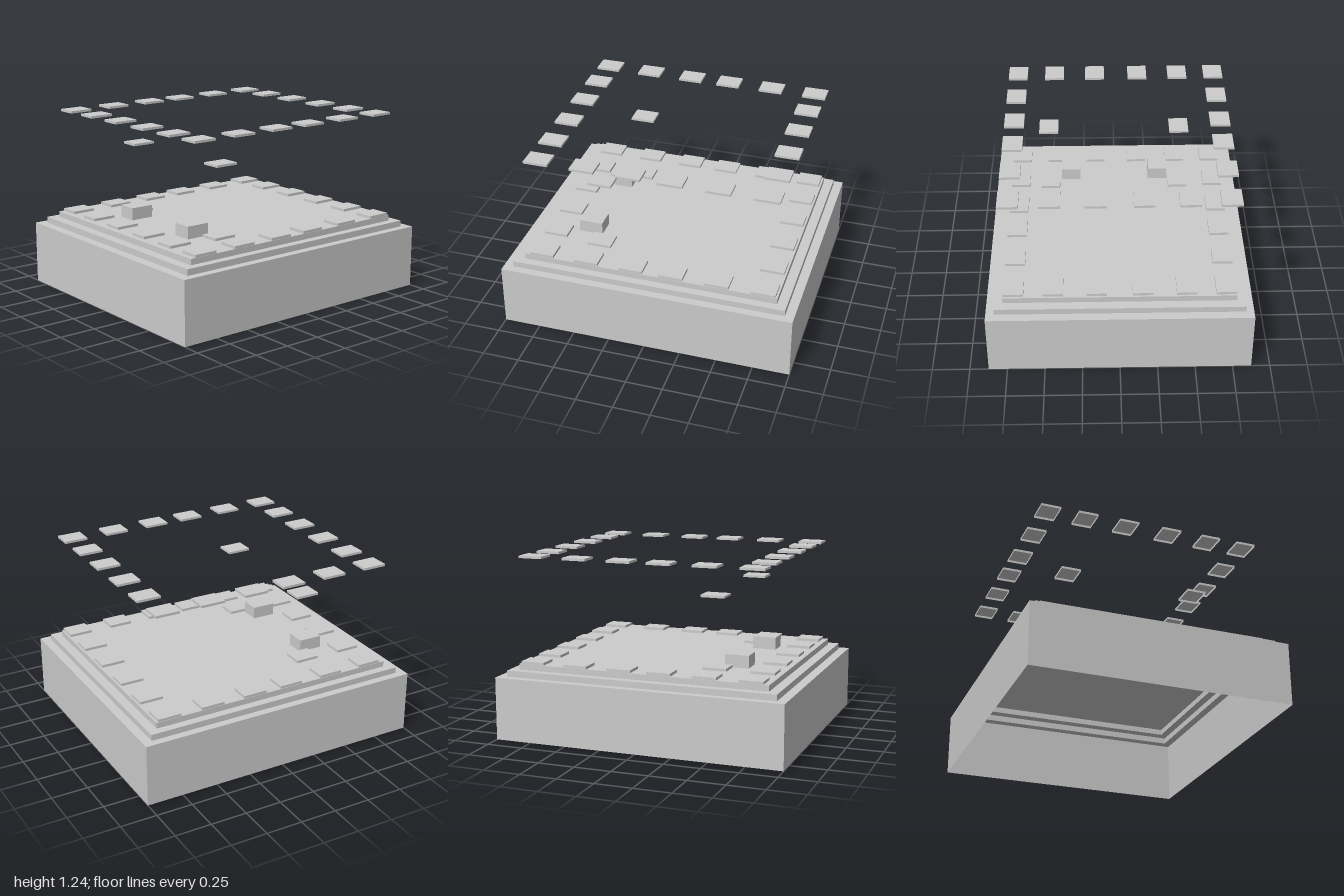
import * as THREE from 'three';
import { mergeGeometries } from 'three/addons/utils/BufferGeometryUtils.js';

const material = new THREE.MeshStandardMaterial({
  color: 0xcccccc, flatShading: true, side: THREE.DoubleSide,
});

// A rectangle is [x0, x1, z0, z1].
const around = (x, z, w, d) => [x - w / 2, x + w / 2, z - d / 2, z + d / 2];

// Horizontal sheet at height y, with rectangular openings
function sheet(rect, y, openings = []) {
  const outline = (C, [x0, x1, z0, z1]) => new C([
    new THREE.Vector2(x0, -z1), new THREE.Vector2(x1, -z1),
    new THREE.Vector2(x1, -z0), new THREE.Vector2(x0, -z0),
  ]);
  const shape = outline(THREE.Shape, rect);
  shape.holes = openings.map((r) => outline(THREE.Path, r));
  return new THREE.ShapeGeometry(shape).rotateX(-Math.PI / 2).translate(0, y, 0);
}

// Four upright walls facing outwards, open above and below
function walls([x0, x1, z0, z1], y0, y1) {
  const w = x1 - x0, d = z1 - z0, cx = (x0 + x1) / 2, cz = (z0 + z1) / 2;
  return [0, 1, 2, 3].map((i) => new THREE.PlaneGeometry(i % 2 ? d : w, y1 - y0)
    .translate(0, 0, (i % 2 ? w : d) / 2)
    .rotateY(i * Math.PI / 2)
    .translate(cx, (y0 + y1) / 2, cz));
}

function part(name, geometries) {
  const mesh = new THREE.Mesh(mergeGeometries(geometries), material);
  mesh.name = name;
  return mesh;
}

// Cap open underneath
const cap = (name, rect, y0, y1) => part(name, [...walls(rect, y0, y1), sheet(rect, y1)]);

export function createModel() {
  const model = new THREE.Group();
  model.name = 'steppedPlatform';

  const TILE_W = 0.134, TILE_D = 0.164;
  const deckY = 0.51;
  const blocks = [around(-0.3, 0.528, TILE_W, TILE_D), around(0.33, 0.528, TILE_W, TILE_D)];

  // Hollow stepped base: each tier is a wall with a ledge around the next tier
  const tiers = [
    { name: 'baseTier', rect: [-0.875, 0.875, -1, 1], y0: 0, y1: 0.428 },
    { name: 'middleTier', rect: [-0.823, 0.82, -0.938, 0.935], y0: 0.428, y1: 0.47 },
    { name: 'deckTier', rect: [-0.768, 0.765, -0.873, 0.868], y0: 0.47, y1: deckY },
  ];
  tiers.forEach(({ name, rect, y0, y1 }, i) => {
    const openings = i < 2 ? [tiers[i + 1].rect] : blocks;
    model.add(part(name, [...walls(rect, y0, y1), sheet(rect, y1, openings)]));
  });

  // Two raised blocks, hollow through the deck
  for (const rect of blocks) model.add(cap('raisedBlock', rect, deckY, 0.595));

  // Ring of tiles around the edge, on the deck and floating above it
  const xs = [-0.698, -0.44, -0.153, 0.15, 0.437, 0.696];
  const zs = [-0.777, -0.465, -0.153, 0.124, 0.435, 0.748];
  const rings = [['deckTiles', deckY, 0.528], ['floatingTiles', 1.224, 1.24]];
  for (const [name, y0, y1] of rings) {
    const ring = new THREE.Group();
    ring.name = name;
    xs.forEach((x, i) => zs.forEach((z, j) => {
      const onEdge = i % 5 === 0 || j % 5 === 0;
      if (onEdge) ring.add(cap('tile', around(x, z, TILE_W, TILE_D), y0, y1));
    }));
    model.add(ring);
  }

  // Inner pair of tiles, on the deck and at mid height
  for (const x of [-0.44, 0.477]) {
    model.add(cap('innerDeckTile', around(x, 0.418, TILE_W, TILE_D), deckY, 0.528));
    model.add(cap('middleTile', around(x, 0.402, TILE_W, TILE_D), 0.992, 1.008));
  }
  return model;
}
